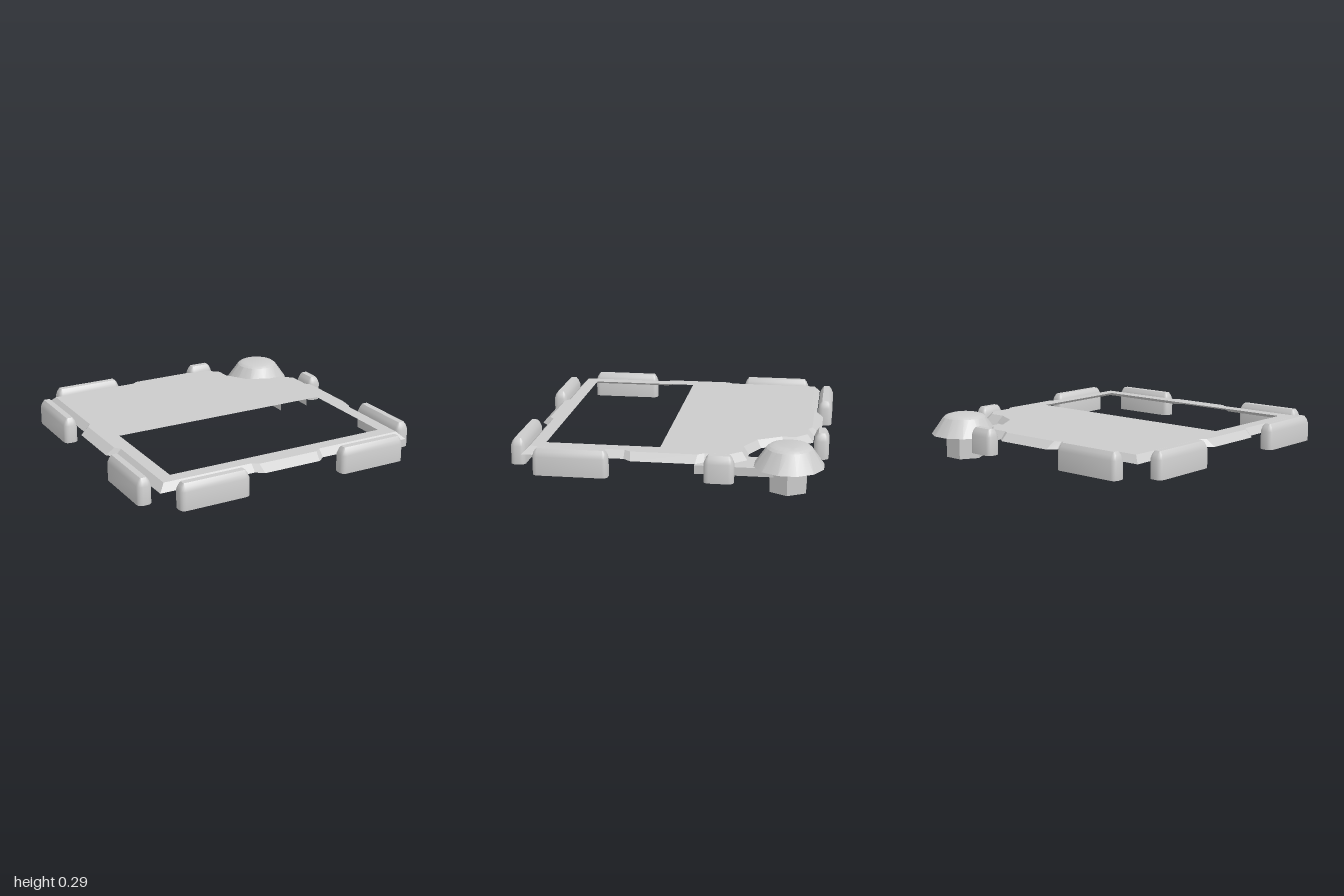
import * as THREE from 'three';
import { toCreasedNormals } from 'three/addons/utils/BufferGeometryUtils.js';

const material = new THREE.MeshStandardMaterial({ color: 0xcccccc, side: THREE.DoubleSide });

// Skin a stack of rings, each { y, pts: [[x, z], ...] } counter-clockwise from above
function loft(rings, crease, capTop) {
  const pos = [];
  const put = (ring, i) => {
    const [x, z] = ring.pts[i % ring.pts.length];
    pos.push(x, ring.y, z);
  };
  for (let r = 0; r + 1 < rings.length; r++) {
    const a = rings[r], b = rings[r + 1];
    for (let i = 0; i < a.pts.length; i++) {
      put(a, i); put(a, i + 1); put(b, i + 1);
      put(a, i); put(b, i + 1); put(b, i);
    }
  }
  if (capTop) {
    const top = rings[rings.length - 1];
    for (let i = 1; i + 1 < top.pts.length; i++) {
      put(top, 0); put(top, i); put(top, i + 1);
    }
  }
  const geo = new THREE.BufferGeometry();
  geo.setAttribute('position', new THREE.Float32BufferAttribute(pos, 3));
  geo.computeVertexNormals();
  return toCreasedNormals(geo, crease);
}

// Rounded rectangle outline around the origin
function roundedRect(hx, hz, r) {
  const pts = [];
  [[1, -1], [-1, -1], [-1, 1], [1, 1]].forEach(([sx, sz], q) => {
    for (let k = 0; k < 4; k++) {
      const a = (q + k / 3) * Math.PI / 2;
      pts.push([sx * (hx - r) + r * Math.cos(a), sz * (hz - r) - r * Math.sin(a)]);
    }
  });
  return pts;
}

// Open-bottomed bumper with a softened top edge
function bumperGeometry(length) {
  const levels = [[0.1, 0], [0.22, 0], [0.25, 0.012], [0.27, 0.027]];
  return loft(levels.map(([y, inset]) => ({
    y, pts: roundedRect(length / 2 - inset, 0.0475 - inset, 0.032 - inset),
  })), 0.7, true);
}

export function createModel() {
  const group = new THREE.Group();
  const add = (name, geometry) => {
    const mesh = new THREE.Mesh(geometry, material);
    mesh.name = name;
    group.add(mesh);
    return mesh;
  };

  // Plate outlines: lower rim edge and upper deck edge, point for point
  const outer = [
    [-0.9, 0.9], [-0.25, 0.9], [-0.2, 0.94], [0.2, 0.94], [0.25, 0.9],
    [0.9, 0.9], [0.9, 0.25], [0.94, 0.2], [0.94, -0.2], [0.9, -0.25],
    [0.9, -0.42], [0.82, -0.51], [0.7, -0.51], [0.565, -0.575], [0.475, -0.72],
    [0.475, -0.82], [0.4, -0.9],
    [0.25, -0.9], [0.2, -0.945], [-0.2, -0.945], [-0.25, -0.9],
    [-0.9, -0.9], [-0.9, -0.25], [-0.94, -0.2], [-0.94, 0.2], [-0.9, 0.25],
  ];
  const inner = [
    [-0.855, 0.855], [-0.25, 0.855], [-0.21, 0.885], [0.21, 0.885], [0.25, 0.855],
    [0.855, 0.855], [0.855, 0.25], [0.885, 0.21], [0.885, -0.21], [0.855, -0.25],
    [0.855, -0.4], [0.79, -0.475], [0.68, -0.475], [0.53, -0.55], [0.44, -0.7],
    [0.44, -0.79], [0.365, -0.86],
    [0.25, -0.86], [0.21, -0.885], [-0.21, -0.885], [-0.25, -0.86],
    [-0.855, -0.86], [-0.855, -0.25], [-0.885, -0.21], [-0.885, 0.21], [-0.855, 0.25],
  ];
  add('plateRim', loft([{ y: 0.2, pts: outer }, { y: 0.245, pts: inner }], 0.3, false));

  // Flat deck with the rectangular opening
  const toShape = ([x, z]) => new THREE.Vector2(x, -z);
  const deck = new THREE.Shape(inner.map(toShape));
  deck.holes.push(new THREE.Path(
    [[-0.77, 0.04], [-0.77, 0.77], [0.77, 0.77], [0.77, 0.04]].map(toShape)));
  add('plateDeck', new THREE.ShapeGeometry(deck).rotateX(-Math.PI / 2).translate(0, 0.245, 0));

  // Bumpers: centre x, centre z, length, runs along z
  const e = 0.9525;
  [
    [-0.5725, e, 0.475, false], [0.5725, e, 0.475, false],
    [-0.5725, -e, 0.475, false], [0.3475, -e, 0.185, false],
    [-e, 0.5725, 0.475, true], [-e, -0.5725, 0.475, true],
    [e, 0.5725, 0.475, true], [e, -0.35, 0.185, true],
  ].forEach(([x, z, length, alongZ], i) => {
    const bumper = add('bumper' + (i + 1), bumperGeometry(length));
    bumper.position.set(x, 0, z);
    if (alongZ) bumper.rotation.y = Math.PI / 2;
  });

  // Knob cap: twelve-sided skirt meeting a round domed top
  const ring = (y, r, faceted) => ({
    y,
    pts: Array.from({ length: 24 }, (_, i) => {
      const a = (i + 0.5) * Math.PI / 12 + Math.PI / 24;
      const rad = faceted && i % 2 ? r * Math.cos(Math.PI / 12) : r;
      return [rad * Math.cos(a), -rad * Math.sin(a)];
    }),
  });
  const cap = add('knobCap', loft([
    ring(0.157, 0.224, true), ring(0.272, 0.143, false),
    ring(0.285, 0.125, false), ring(0.295, 0.09, false),
  ], 0.35, true));
  cap.position.set(0.75, 0, -0.765);

  // Six-sided knob stem, open at both ends
  const stem = new THREE.CylinderGeometry(0.13, 0.13, 0.17, 6, 1, true, Math.PI / 6 + Math.PI / 3);
  const stemMesh = add('knobStem', toCreasedNormals(stem, 0.5));
  stemMesh.position.set(0.75, 0.085, -0.762);

  // Channel under the plate leading to the knob, open below and at its ends
  const [x0, x1, z0, z1] = [0.61, 0.83, -0.68, -0.18];
  const mid = (z0 + z1) / 2, len = z1 - z0;
  add('channelTop', new THREE.PlaneGeometry(x1 - x0, len).rotateX(-Math.PI / 2))
    .position.set((x0 + x1) / 2, 0.155, mid);
  [[x0, -1], [x1, 1]].forEach(([x, side]) => {
    add(side < 0 ? 'channelRightWall' : 'channelLeftWall',
      new THREE.PlaneGeometry(len, 0.055).rotateY(side * Math.PI / 2))
      .position.set(x, 0.1275, mid);
  });

  return group;
}
